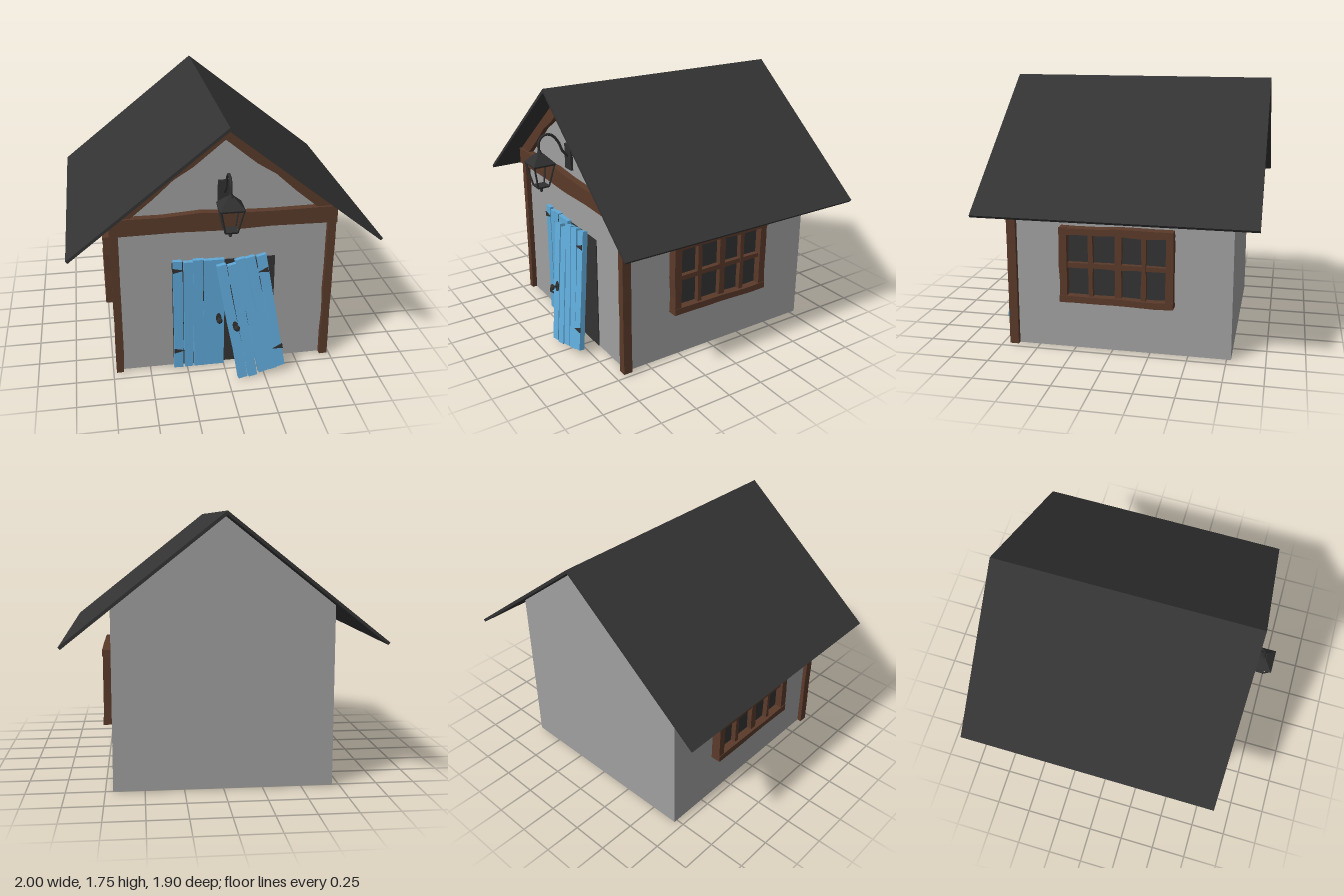
import * as THREE from 'three';

const paint = (color, flat = true) => new THREE.MeshStandardMaterial({ color, flatShading: flat });
const WALL = paint(0xa0a0a0), WOOD = paint(0x5a3a2a), DARK = paint(0x333333), BLUE = paint(0x5fa9d8), IRON = paint(0x303030);

function add(parent, name, geometry, material, x = 0, y = 0, z = 0) {
  const mesh = new THREE.Mesh(geometry, material);
  mesh.name = name;
  mesh.position.set(x, y, z);
  parent.add(mesh);
  return mesh;
}
function group(parent, name) {
  const g = new THREE.Group();
  g.name = name;
  parent.add(g);
  return g;
}
const box = (w, h, d) => new THREE.BoxGeometry(w, h, d);

// Flat outline given depth towards +z
function slab(points, depth) {
  const shape = new THREE.Shape(points.map(([x, y]) => new THREE.Vector2(x, y)));
  return new THREE.ExtrudeGeometry(shape, { depth, bevelEnabled: false });
}

// Small repeatable wobble for hand-cut timber
let seed = 7;
function wobble(amount) {
  seed = (seed * 16807) % 2147483647;
  return (seed / 2147483647 - 0.5) * 2 * amount;
}

// Upright board, centred on its own origin, with uneven long edges
function board(w, h, d, rough, steps = 4) {
  const right = [], left = [];
  for (let i = 0; i <= steps; i++) {
    const y = -h / 2 + (h * i) / steps;
    right.push([w / 2 + wobble(rough), y + wobble(rough * 0.4)]);
    left.unshift([-w / 2 + wobble(rough), y + wobble(rough * 0.4)]);
  }
  return slab([...right, ...left], d).translate(0, 0, -d / 2);
}

function rod(parent, name, a, b, r) {
  const from = new THREE.Vector3(...a), to = new THREE.Vector3(...b);
  const dir = to.clone().sub(from);
  const m = add(parent, name, new THREE.CylinderGeometry(r, r, dir.length(), 6), IRON);
  m.position.copy(from).addScaledVector(dir, 0.5);
  m.quaternion.setFromUnitVectors(new THREE.Vector3(0, 1, 0), dir.normalize());
}

function knob(parent, x, y, z) {
  const g = group(parent, 'doorKnob');
  g.position.set(x, y, z);
  const rose = add(g, 'knobPlate', new THREE.CylinderGeometry(0.018, 0.018, 0.008, 12).rotateX(Math.PI / 2), IRON);
  rose.scale.y = 2;
  add(g, 'knobStem', new THREE.CylinderGeometry(0.008, 0.008, 0.04, 8).rotateX(Math.PI / 2), IRON, 0, 0, 0.02);
  add(g, 'knobBall', new THREE.SphereGeometry(0.02, 10, 8), IRON, 0, 0, 0.04).scale.z = 0.6;
}

// Pointed strap hinge growing in the direction of dir
function hinge(parent, x, y, z, dir) {
  const pts = [[0, -0.017], [0.07, 0], [0, 0.017]].map(([a, b]) => [a * dir, b]);
  if (dir < 0) pts.reverse();
  add(parent, 'hinge', slab(pts, 0.006), IRON, x, y, z);
}

function buildWalls(house) {
  const walls = group(house, 'walls');
  const gable = [[-0.7, 0.02], [0.7, 0.02], [0.7, 1.185], [0, 1.735], [-0.7, 1.185]];
  add(walls, 'frontWall', slab(gable, 0.05), WALL, 0, 0, 0.61);
  add(walls, 'backWall', slab(gable, 0.05), WALL, 0, 0, -0.78);
  for (const s of [-1, 1]) add(walls, 'sideWall', box(0.05, 1.15, 1.34), WALL, s * 0.675, 0.595, -0.06);
}

function buildRoof(house) {
  const section = [[0, 1.76], [-1, 0.967], [-0.988, 0.952], [0, 1.735], [0.988, 0.952], [1, 0.967]];
  add(house, 'roof', slab(section, 1.775), DARK, 0, 0, -0.945);
}

function buildTimber(house) {
  const timber = group(house, 'timberFrame');
  for (const s of [-1, 1]) {
    add(timber, 'cornerPost', board(0.05, 1.04, 0.06, 0.004, 6), WOOD, s * 0.703, 0.54, 0.665);
    const rafter = [[0.73, 1.155], [0, 1.735], [0, 1.64], [0.2, 1.475], [0.32, 1.4], [0.45, 1.28], [0.6, 1.155]];
    const pts = rafter.map(([x, y]) => [x * s, y]);
    add(timber, 'rafter', slab(s < 0 ? pts.reverse() : pts, 0.06), WOOD, 0, 0, 0.635);
  }
  const beam = [[-0.73, 1.045], [-0.3, 1.05], [0, 1.042], [0.3, 1.052], [0.73, 1.045],
    [0.73, 1.16], [0.3, 1.155], [0.05, 1.16], [-0.15, 1.175], [-0.4, 1.158], [-0.73, 1.16]];
  add(timber, 'crossBeam', slab(beam, 0.11), WOOD, 0, 0, 0.6);
}

function buildWindow(house, side) {
  const win = group(house, side > 0 ? 'leftWindow' : 'rightWindow');
  win.position.set(side * 0.7, 0.605, -0.04);
  win.rotation.y = (side * Math.PI) / 2;
  add(win, 'panes', box(0.7, 0.46, 0.03), DARK);
  // Uprights: position, width
  for (const [u, w] of [[-0.345, 0.05], [0.345, 0.05], [0.0125, 0.045], [-0.1675, 0.028], [0.1775, 0.028]]) {
    const outer = Math.abs(u) > 0.3;
    add(win, outer ? 'frameUpright' : 'mullion', board(w, outer ? 0.5 : 0.46, 0.07, 0.004), WOOD, u, 0, outer ? 0.03 : 0.015);
  }
  for (const [v, w] of [[-0.23, 0.045], [0.23, 0.045], [0, 0.03]]) {
    const rail = add(win, v ? 'frameRail' : 'middleBar', board(w, v ? 0.74 : 0.68, 0.07, 0.005, 6), WOOD, 0, v, v ? 0.034 : 0.012);
    rail.rotation.z = Math.PI / 2;
  }
}

function buildDoors(house) {
  add(house, 'doorway', box(0.68, 0.79, 0.02), DARK, 0, 0.415, 0.656);

  // Closed leaf
  const closed = group(house, 'closedDoor');
  const planks = [[-0.307, 0.062, 0.815], [-0.238, 0.06, 0.805], [-0.172, 0.066, 0.815], [-0.07, 0.138, 0.808]];
  for (const [x, w, h] of planks) add(closed, 'doorPlank', board(w, h, 0.03, 0.003), BLUE, x, 0.02 + h / 2, 0.683);
  add(closed, 'plankCrack', box(0.004, 0.3, 0.003), DARK, -0.14, 0.68, 0.699);
  for (const y of [0.77, 0.155]) hinge(closed, -0.338, y, 0.698, 1);
  knob(closed, -0.038, 0.39, 0.7);

  // Broken leaf, leaning against the doorway
  const loose = group(house, 'leaningDoor');
  loose.position.set(0.167, 0.432, 0.782);
  loose.rotation.set(-0.165, 0.1, 0.17);
  for (let i = 0; i < 5; i++) {
    const h = 0.815 + wobble(0.012);
    const p = add(loose, 'doorPlank', board(0.06, h, 0.038, 0.004), BLUE, -0.134 + i * 0.067, wobble(0.008), 0);
    p.rotation.z = wobble(0.012);
  }
  for (const y of [-0.28, 0.28]) {
    add(loose, 'backBatten', box(0.3, 0.05, 0.015), BLUE, 0, y, -0.02);
    hinge(loose, 0.165, y + 0.02, 0.019, -1);
  }
  knob(loose, -0.123, -0.024, 0.02);
}

function buildLantern(house) {
  const lamp = group(house, 'lantern');
  add(lamp, 'wallPlate', box(0.085, 0.17, 0.02), IRON, 0, 1.285, 0.667);
  const path = [[1.33, 0.875], [1.42, 0.875], [1.458, 0.84], [1.455, 0.79], [1.4, 0.74], [1.33, 0.71], [1.29, 0.67]];
  const curve = new THREE.CatmullRomCurve3(path.map(([y, z]) => new THREE.Vector3(0, y, z)));
  add(lamp, 'arm', new THREE.TubeGeometry(curve, 24, 0.009, 8), paint(0x303030, false));

  const cage = group(lamp, 'lanternCage');
  cage.position.z = 0.875;
  const square = (top, bottom, h) => new THREE.CylinderGeometry(top * Math.SQRT2, bottom * Math.SQRT2, h, 4).rotateY(Math.PI / 4);
  add(cage, 'hood', square(0.022, 0.078, 0.06), IRON, 0, 1.312, 0);
  add(cage, 'hoodRim', square(0.078, 0.074, 0.012), IRON, 0, 1.277, 0);
  add(cage, 'cap', new THREE.CylinderGeometry(0.01, 0.02, 0.025, 8), IRON, 0, 1.352, 0);
  add(cage, 'base', square(0.043, 0.038, 0.012), IRON, 0, 1.122, 0);
  add(cage, 'finialNeck', new THREE.CylinderGeometry(0.016, 0.008, 0.02, 8), IRON, 0, 1.107, 0);
  add(cage, 'finial', new THREE.SphereGeometry(0.012, 8, 6), IRON, 0, 1.092, 0);
  for (const x of [-1, 1]) for (const z of [-1, 1])
    rod(cage, 'cageBar', [x * 0.069, 1.275, z * 0.069], [x * 0.038, 1.122, z * 0.038], 0.006);
}

export function createModel() {
  const house = new THREE.Group();
  house.name = 'cottage';
  buildWalls(house);
  buildRoof(house);
  buildTimber(house);
  for (const side of [-1, 1]) buildWindow(house, side);
  buildDoors(house);
  buildLantern(house);
  return house;
}
